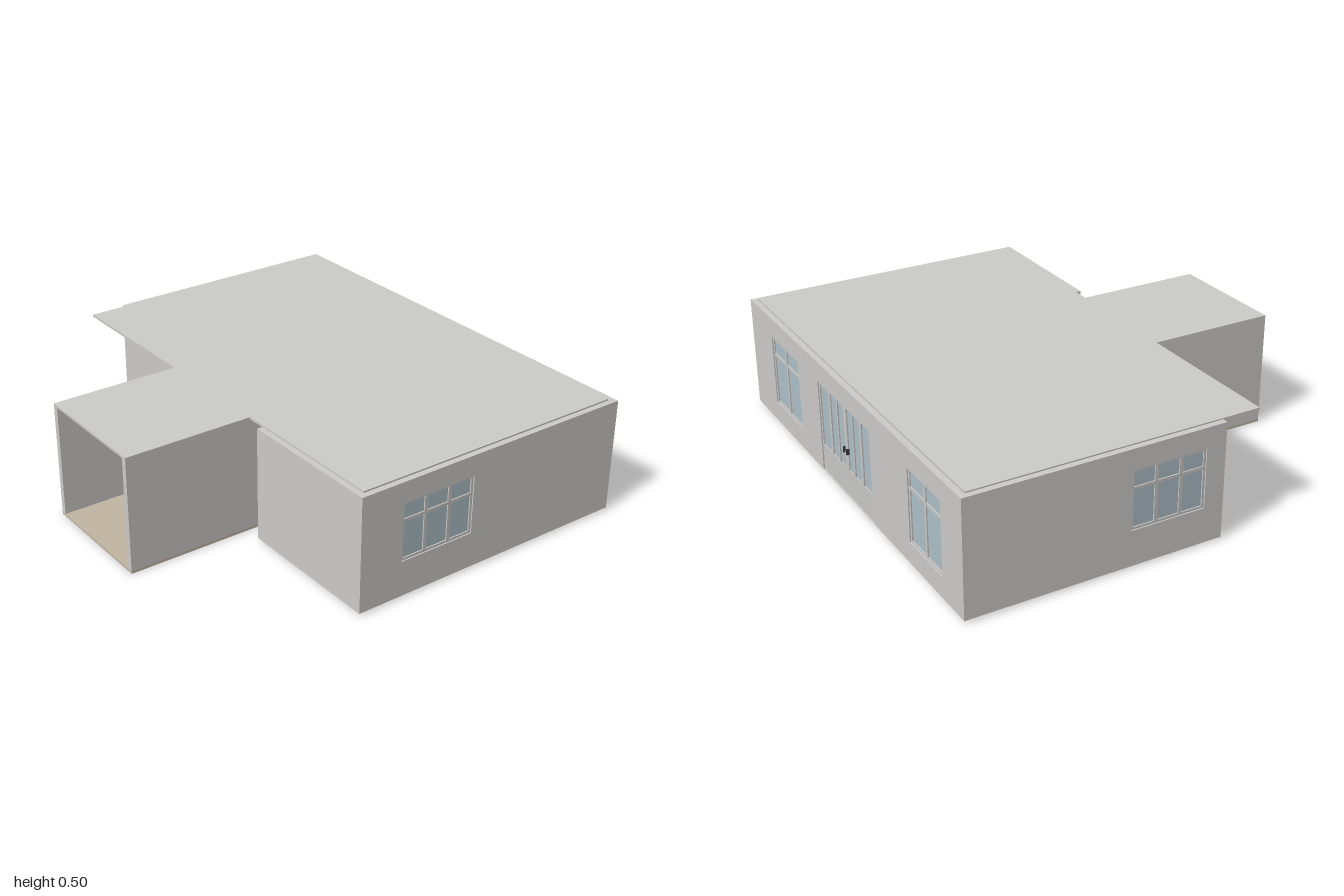
import * as THREE from 'three';

const T = 0.025, BASE = 0.01, TOP = 0.495;
const mat = (name, color) => {
  const m = new THREE.MeshStandardMaterial({ color });
  m.name = name;
  return m;
};

export function createModel() {
  const plaster = mat('plaster', 0xcccbc9);
  const frameMat = mat('frame', 0xc9c8c6);
  const glassMat = mat('glass', 0xaebfc7);
  const floorMat = mat('floor', 0xc2b6a2);
  const metal = mat('metal', 0x3a3a3a);

  const house = new THREE.Group();
  house.name = 'house';

  const box = (parent, name, m, x0, x1, y0, y1, z0, z1) => {
    const b = new THREE.Mesh(new THREE.BoxGeometry(x1 - x0, y1 - y0, z1 - z0), m);
    b.position.set((x0 + x1) / 2, (y0 + y1) / 2, (z0 + z1) / 2);
    b.name = name;
    parent.add(b);
    return b;
  };

  // Flat slab from a plan outline of [x, z] points
  const slab = (name, m, pts, y, h) => {
    const shape = new THREE.Shape(pts.map(([x, z]) => new THREE.Vector2(x, -z)));
    const g = new THREE.ExtrudeGeometry(shape, { depth: h, bevelEnabled: false });
    g.rotateX(-Math.PI / 2).translate(0, y, 0);
    const mesh = new THREE.Mesh(g, m);
    mesh.name = name;
    house.add(mesh);
  };

  // Wall from a to b with rectangular openings [x0, x1, y0, y1]; its local +z faces outside
  const wall = (name, a, b, openings = []) => {
    const dx = b[0] - a[0], dz = b[1] - a[1], len = Math.hypot(dx, dz);
    const rect = (P, x0, x1, y0, y1) => {
      const p = new P();
      p.moveTo(x0, y0); p.lineTo(x1, y0); p.lineTo(x1, y1); p.lineTo(x0, y1); p.closePath();
      return p;
    };
    const shape = rect(THREE.Shape, 0, len, BASE, TOP);
    openings.forEach((o) => shape.holes.push(rect(THREE.Path, ...o)));
    const g = new THREE.ExtrudeGeometry(shape, { depth: T, bevelEnabled: false });
    g.translate(0, 0, -T);
    const grp = new THREE.Group();
    grp.name = name;
    grp.position.set(a[0], 0, a[1]);
    grp.rotation.y = Math.atan2(-dz, dx);
    const mesh = new THREE.Mesh(g, plaster);
    mesh.name = name + 'Panel';
    grp.add(mesh);
    house.add(grp);
    return grp;
  };

  // Glazed unit: vertical bars at the inner positions, horizontal bars at the given heights
  const glazing = (parent, name, [x0, x1, y0, y1], bars, rails) => {
    const g = new THREE.Group();
    g.name = name;
    parent.add(g);
    box(g, 'glass', glassMat, x0, x1, y0, y1, -0.016, -0.01);
    const f = 0.01, z0 = -0.021, z1 = -0.005;
    box(g, 'frameSide', frameMat, x0, x0 + f, y0, y1, z0, z1);
    box(g, 'frameSide', frameMat, x1 - f, x1, y0, y1, z0, z1);
    box(g, 'frameTop', frameMat, x0, x1, y1 - f, y1, z0, z1);
    box(g, 'frameSill', frameMat, x0, x1, y0, y0 + f, z0, z1);
    bars.forEach(([x, w]) => box(g, 'mullion', frameMat, x - w / 2, x + w / 2, y0, y1, z0, z1));
    rails.forEach((y) => box(g, 'transom', frameMat, x0, x1, y - 0.006, y + 0.006, z0, z1));
    return g;
  };

  // Plain outer walls, including the projecting porch
  wall('frontLeftWall', [-0.995, 0.19], [-0.296, 0.19]);
  wall('porchLeftWall', [-0.296, 0.165], [-0.296, 0.908]);
  wall('porchRightWall', [0.25, 0.908], [0.25, 0.14]);
  wall('recessWall', [0.225, 0.165], [0.335, 0.165]);
  wall('recessSideWall', [0.335, 0.14], [0.335, 0.384]);
  wall('frontRightWall', [0.335, 0.384], [0.973, 0.384]);

  // Side walls, each with one three-pane window
  const sides = [
    ['rightWall', [0.973, 0.384], [0.973, -0.895], [0.19, 0.53, 0.16, 0.41]],
    ['leftWall', [-0.995, -0.895], [-0.995, 0.19], [0.68, 1.0, 0.16, 0.41]],
  ];
  for (const [name, a, b, o] of sides) {
    const w = wall(name, a, b, [o]);
    const step = (o[1] - o[0]) / 3;
    glazing(w, 'sideWindow', o, [[o[0] + step, 0.014], [o[0] + 2 * step, 0.014]], [0.33]);
  }

  // Back wall: two windows and a wide garden door; positions run from the right corner
  const at = (x) => 0.973 - x;
  const winA = [at(0.74), at(0.45), 0.1, 0.41];
  const winB = [at(-0.575), at(-0.835), 0.1, 0.41];
  const door = [at(0.24), at(-0.25), 0.012, 0.41];
  const back = wall('backWall', [0.973, -0.895], [-0.995, -0.895], [winA, winB, door]);
  for (const o of [winA, winB]) {
    glazing(back, 'backWindow', o, [[(o[0] + o[1]) / 2, 0.014]], [0.33]);
  }
  const bars = [[0.14, 0.02], [0.065, 0.01], [-0.01, 0.03], [-0.08, 0.01], [-0.155, 0.02]];
  const garden = glazing(back, 'gardenDoor', door, bars.map(([x, w]) => [at(x), w]), []);
  box(garden, 'lowerPanel', frameMat, door[0], door[1], 0.012, 0.13, -0.021, -0.005);
  for (const x of [-0.023, 0.005]) {
    box(garden, 'handle', metal, at(x) - 0.003, at(x) + 0.003, 0.2, 0.225, -0.03, 0.003);
  }

  // Entrance wall inside the porch with two leaves standing open inward
  const entry = wall('entranceWall', [-0.296, 0.165], [0.25, 0.165], [[0.12, 0.43, 0.012, 0.405]]);
  for (const [x, s] of [[0.12, 1], [0.43, -1]]) {
    const leaf = new THREE.Group();
    leaf.name = 'entranceLeaf';
    leaf.position.set(x, 0, -T);
    leaf.scale.x = 1;
    entry.add(leaf);
    box(leaf, 'doorPanel', frameMat, -0.005, 0.005, 0.014, 0.403, -0.15, 0);
    box(leaf, 'handle', metal, s > 0 ? 0.005 : -0.012, s > 0 ? 0.012 : -0.005, 0.18, 0.205, -0.14, -0.13);
  }

  // Floor slab under the rooms and porch
  slab('floor', floorMat, [
    [-0.969, -0.868], [0.946, -0.868], [0.946, 0.358], [0.335, 0.358], [0.335, 0.165],
    [0.25, 0.165], [0.25, 0.908], [-0.296, 0.908], [-0.296, 0.165], [-0.969, 0.165],
  ], 0, BASE);

  // Flat roof, overhanging the recessed front left corner and covering the porch
  slab('roof', plaster, [
    [-0.969, -0.866], [0.946, -0.866], [0.946, 0.356], [0.25, 0.356],
    [0.25, 0.908], [-0.296, 0.908], [-0.296, 0.356], [-0.969, 0.356],
  ], 0.49, 0.01);

  // The whole plan is turned slightly
  house.rotation.y = -0.027;
  const model = new THREE.Group();
  model.name = 'bungalow';
  model.add(house);
  return model;
}
